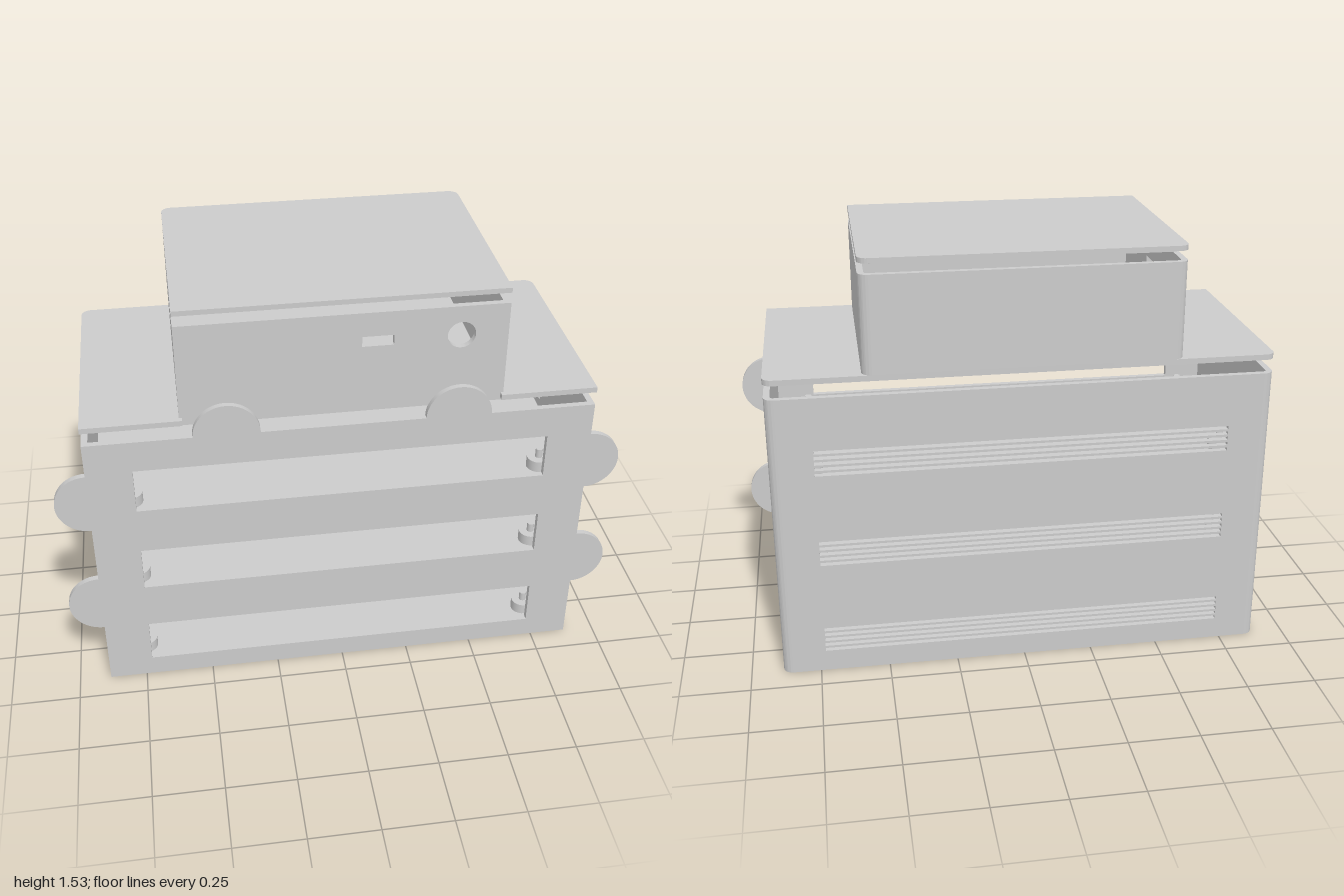
import * as THREE from 'three';
import { toCreasedNormals } from 'three/addons/utils/BufferGeometryUtils.js';

const W = 0.885, H = 1.06, F = 0.41, B = -0.41, T = 0.022; // lower case
const UW = 0.555, UF = 0.39, U0 = 1.1, U1 = 1.475;         // upper case
const R = 0.035;                                           // rear corner radius
const FLOORS = [0.07, 0.418, 0.764];                       // lower edge of each side window

const material = new THREE.MeshStandardMaterial({ color: 0xcccccc });

function extrude(shape, depth) {
  const g = new THREE.ExtrudeGeometry(shape, { depth, bevelEnabled: false, curveSegments: 24 });
  return toCreasedNormals(g, 0.5);
}

function rect(x0, x1, y0, y1, Type = THREE.Path) {
  const p = new Type();
  p.moveTo(x0, y0).lineTo(x1, y0).lineTo(x1, y1).lineTo(x0, y1).closePath();
  return p;
}

function add(group, name, geometry) {
  const mesh = new THREE.Mesh(geometry, material);
  mesh.name = name;
  group.add(mesh);
  return mesh;
}

// Upright panel facing the front, with its rear surface at z
function facePanel(group, name, shape, z) {
  add(group, name, extrude(shape, T)).position.z = z;
}

// Upright panel facing sideways; the shape is drawn in z and y, outer surface at |x|
function sidePanel(group, name, shape, x) {
  const g = extrude(shape, T).rotateY(-Math.PI / 2);
  add(group, name, g).position.x = x > 0 ? x : x + T;
}

// Flat plate with rounded rear corners and an optional notch in its front edge
function plate(group, name, hw, front, back, y0, y1, r = R, notch = null) {
  const s = new THREE.Shape();
  s.moveTo(-hw, -front);
  if (notch) {
    s.lineTo(-notch.hw, -front).lineTo(-notch.hw, -notch.z);
    s.lineTo(notch.hw, -notch.z).lineTo(notch.hw, -front);
  }
  s.lineTo(hw, -front);
  s.absarc(hw - r, -back - r, r, 0, Math.PI / 2);
  s.absarc(-hw + r, -back - r, r, Math.PI / 2, Math.PI);
  s.closePath();
  add(group, name, extrude(s, y1 - y0).rotateX(-Math.PI / 2)).position.y = y0;
}

// Rounded posts joining the rear and side walls
function rearCorners(group, hw, back, y0, y1) {
  for (const side of [1, -1]) {
    const a = side > 0 ? 0 : Math.PI / 2, cx = side * (hw - R), cy = -back - R;
    const s = new THREE.Shape();
    s.absarc(cx, cy, R, a, a + Math.PI / 2, false);
    s.absarc(cx, cy, R - T, a + Math.PI / 2, a, true);
    s.closePath();
    const g = extrude(s, y1 - y0).rotateX(-Math.PI / 2);
    add(group, side > 0 ? 'leftRearCorner' : 'rightRearCorner', g).position.y = y0;
  }
}

function lowerCase() {
  const g = new THREE.Group();
  g.name = 'lowerCase';

  // Front wall with half-round tabs on three edges and three wide openings
  const r = 0.115, h = Math.PI / 2;
  const front = new THREE.Shape();
  front.moveTo(-W, 0).lineTo(W, 0);
  for (const y of [0.37, 0.82]) front.absarc(W, y, r, -h, h);
  front.lineTo(W, H);
  for (const x of [0.4, -0.4]) front.absarc(x, H, r, 0, Math.PI);
  front.lineTo(-W, H);
  for (const y of [0.82, 0.37]) front.absarc(-W, y, r, h, 3 * h);
  front.closePath();
  for (const y of FLOORS) front.holes.push(rect(-0.725, 0.725, y + 0.008, y + 0.178));
  facePanel(g, 'frontWall', front, F - T);

  // Rear wall with five narrow vents per level
  const rear = rect(-W + R, W - R, 0, H, THREE.Shape);
  for (const y of FLOORS) {
    for (let i = 0; i < 5; i++) {
      const y0 = y + 0.01 + i * 0.0205;
      rear.holes.push(rect(-0.73, 0.73, y0, y0 + 0.012));
    }
  }
  facePanel(g, 'rearWall', rear, B);
  rearCorners(g, W, B, 0, H);

  // Side walls with one window per level
  for (const side of [1, -1]) {
    const s = rect(B + R, F - T, 0, H, THREE.Shape);
    for (const y of FLOORS) s.holes.push(rect(-0.263, -0.093, y, y + 0.105));
    sidePanel(g, side > 0 ? 'leftWall' : 'rightWall', s, side * W);
  }

  // Base and shelves, each with four stepped mounting pegs
  FLOORS.forEach((y, i) => {
    const top = y - 0.035;
    if (i === 0) plate(g, 'base', W - 0.001, F - T, B + 0.001, 0, top);
    else plate(g, 'shelf', W - T, F - T, B + T, top - T, top, R - T);
    for (const x of [-0.745, 0.745]) for (const z of [-0.275, 0.29]) {
      const peg = new THREE.Group();
      peg.name = 'mountingPeg';
      add(peg, 'pegBase', new THREE.CylinderGeometry(0.043, 0.043, 0.042, 24)).position.y = 0.021;
      add(peg, 'pegPin', new THREE.CylinderGeometry(0.013, 0.013, 0.035, 16)).position.y = 0.0595;
      peg.position.set(x, top, z);
      g.add(peg);
    }
  });
  return g;
}

function upperCase() {
  const g = new THREE.Group();
  g.name = 'upperCase';

  // Shoulder lid, cut back in front of the upper walls, with its locating lip
  plate(g, 'shoulderLid', W, F, B, 1.11, 1.13, R, { hw: UW - 0.01, z: UF - 0.001 });
  plate(g, 'shoulderLidLip', W - 0.028, 0.35, B + 0.028, U0, 1.11, 0.01);

  // Front wall with a port slot and a round hole
  const front = rect(-UW, UW, U0, U1, THREE.Shape);
  front.holes.push(rect(0.06, 0.167, 1.35, 1.387));
  const hole = new THREE.Path();
  hole.absarc(0.395, 1.368, 0.048, 0, Math.PI * 2);
  front.holes.push(hole);
  facePanel(g, 'upperFrontWall', front, UF - T);

  facePanel(g, 'upperRearWall', rect(-UW + R, UW - R, 1.13, U1, THREE.Shape), B);
  rearCorners(g, UW, B, 1.13, U1);

  // Side walls, the right one with a window
  for (const side of [1, -1]) {
    const s = rect(B + R, UF - T, 1.13, U1, THREE.Shape);
    if (side < 0) s.holes.push(rect(-0.12, 0.06, 1.275, 1.375));
    sidePanel(g, side > 0 ? 'upperLeftWall' : 'upperRightWall', s, side * UW);
  }
  return g;
}

function topLid() {
  const g = new THREE.Group();
  g.name = 'topLid';
  plate(g, 'topLidPlate', UW, UF, B, 1.512, 1.53);
  plate(g, 'topLidLip', UW - 0.037, 0.35, B + 0.04, 1.5, 1.512, 0.01);
  return g;
}

export function createModel() {
  const model = new THREE.Group();
  model.name = 'tieredEnclosure';
  model.add(lowerCase(), upperCase(), topLid());
  return model;
}
